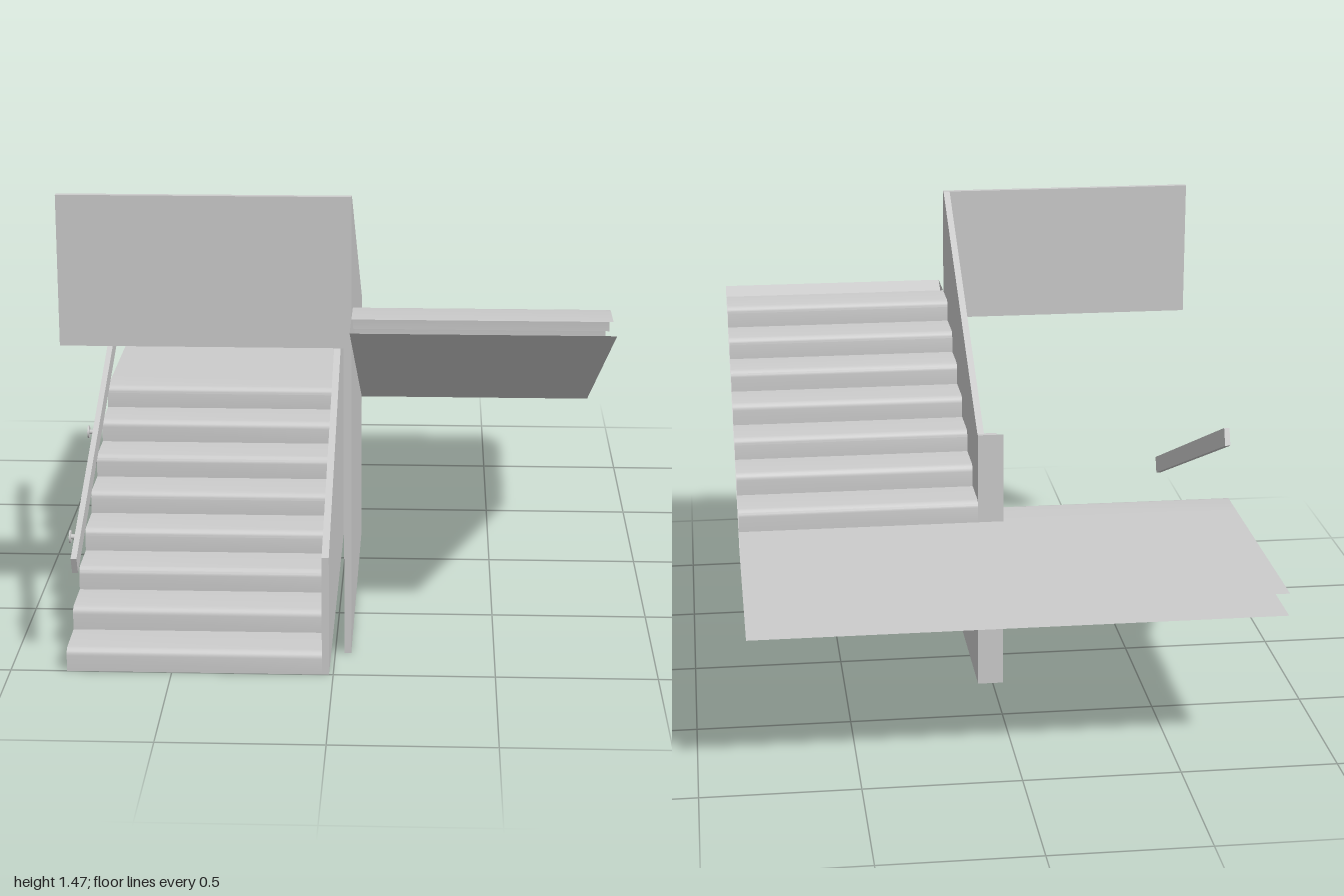
import * as THREE from 'three';
import { toCreasedNormals } from 'three/addons/utils/BufferGeometryUtils.js';

const RUN = 0.15625, RISE = 0.073;       // one step
const LANDING = 8 * RISE, SOFFIT = 7 * RISE, TOP = 15 * RISE;
const LEFT = [-0.825, -0.035], RIGHT = [0.05, 0.84]; // x ranges of the two flights

export function createModel() {
  const model = new THREE.Group();
  const solid = new THREE.MeshStandardMaterial({ color: 0xcccccc });
  const thin = new THREE.MeshStandardMaterial({ color: 0xcccccc, side: THREE.DoubleSide });

  function add(name, geometry, material = solid, parent = model) {
    const mesh = new THREE.Mesh(geometry, material);
    mesh.name = name;
    parent.add(mesh);
    return mesh;
  }

  // Open sheet: a [z, y] profile swept from x0 to x1
  function sheet(name, profile, [x0, x1]) {
    const position = [], index = [];
    profile.forEach(([z, y], i) => {
      position.push(x0, y, z, x1, y, z);
      const a = 2 * i;
      if (i < profile.length - 1) index.push(a, a + 1, a + 2, a + 1, a + 3, a + 2);
    });
    const g = new THREE.BufferGeometry();
    g.setAttribute('position', new THREE.Float32BufferAttribute(position, 3));
    g.setIndex(index);
    return add(name, toCreasedNormals(g, 0.4), thin);
  }

  // Upright slab: a [z, y] outline with thickness from x0 to x1
  function slab(name, outline, x0, x1) {
    const shape = new THREE.Shape(outline.map(([z, y]) => new THREE.Vector2(z, y)));
    const g = new THREE.ExtrudeGeometry(shape, { depth: x1 - x0, bevelEnabled: false });
    g.rotateY(-Math.PI / 2).translate(x1, 0, 0);
    return add(name, g);
  }

  function box(name, x0, x1, y0, y1, z0, z1) {
    const g = new THREE.BoxGeometry(x1 - x0, y1 - y0, z1 - z0);
    add(name, g.translate((x0 + x1) / 2, (y0 + y1) / 2, (z0 + z1) / 2));
  }

  // Step profile with rounded nosings, climbing along dir in z
  function steps(z0, y0, count, dir) {
    const r = 0.022, points = [];
    for (let i = 0; i < count; i++) {
      const z = z0 + dir * i * RUN, y = y0 + i * RISE;
      points.push([z, y]);
      for (let k = 0; k <= 5; k++) {
        const a = (k / 5) * Math.PI / 2;
        points.push([z + dir * r * (1 - Math.cos(a)), y + RISE - r + r * Math.sin(a)]);
      }
    }
    points.push([z0 + dir * count * RUN, y0 + count * RISE]);
    return points;
  }

  // Flights
  sheet('lowerFlight', steps(1, 0, 8, -1), LEFT);
  sheet('upperFlight', steps(-0.25, LANDING, 7, 1).reverse(), RIGHT);

  // Landing and sloping undersides
  sheet('landingFloor', [[-0.25, LANDING], [-1, LANDING]], [LEFT[0], RIGHT[1]]);
  sheet('landingUnderside', [[-1, SOFFIT], [-0.25, SOFFIT]], [LEFT[0], RIGHT[1]]);
  sheet('lowerFlightUnderside', [[-0.25, SOFFIT], [0.844, 0]], LEFT);
  sheet('upperFlightUnderside', [[-0.25, SOFFIT], [1, TOP]], RIGHT);

  // Small cheek closing the head of the upper flight
  const cheek = new THREE.ShapeGeometry(new THREE.Shape([
    new THREE.Vector2(0.83, TOP - RISE - 0.006),
    new THREE.Vector2(1, TOP),
    new THREE.Vector2(0.83, TOP),
  ]));
  add('upperFlightCheek', cheek.rotateY(-Math.PI / 2).translate(RIGHT[0], 0, 0), thin);

  // Hollow central wall: two sides and a back
  slab('lowerFlightWall', [[1, 0], [1, 0.385], [-0.245, 0.885], [-0.245, 0]], -0.035, -0.013);
  slab('upperFlightWall',
    [[0.83, 0], [0.83, 1.47], [0.805, 1.47], [-0.23, 0.885], [-0.245, 0.885], [-0.245, 0]], 0.028, 0.05);
  box('wallBack', -0.013, 0.028, 0, 0.885, -0.245, -0.225);

  // Parapet across the lower flight
  box('parapet', -0.84, 0.028, 1.0, 1.47, 0.81, 0.83);

  // Handrail with wall brackets
  const handrail = new THREE.Group();
  handrail.name = 'handrail';
  model.add(handrail);
  const low = new THREE.Vector2(0.98, 0.34), high = new THREE.Vector2(-0.197, 0.832);
  const span = high.clone().sub(low), middle = low.clone().add(high).multiplyScalar(0.5);
  const rail = add('rail', new THREE.BoxGeometry(0.018, 0.06, span.length()), solid, handrail);
  rail.position.set(-0.795, middle.y, middle.x);
  rail.rotation.x = Math.atan2(span.y, -span.x);
  for (const z of [0.86, 0.4, -0.06]) {
    const y = low.y + span.y * (z - low.x) / span.x;
    const plate = new THREE.CylinderGeometry(0.02, 0.02, 0.005, 20).rotateZ(Math.PI / 2);
    add('bracketPlate', plate, solid, handrail).position.set(-0.8225, y, z);
    const stem = new THREE.CylinderGeometry(0.008, 0.008, 0.02, 12).rotateZ(Math.PI / 2);
    add('bracketStem', stem, solid, handrail).position.set(-0.811, y, z);
  }

  return model;
}
